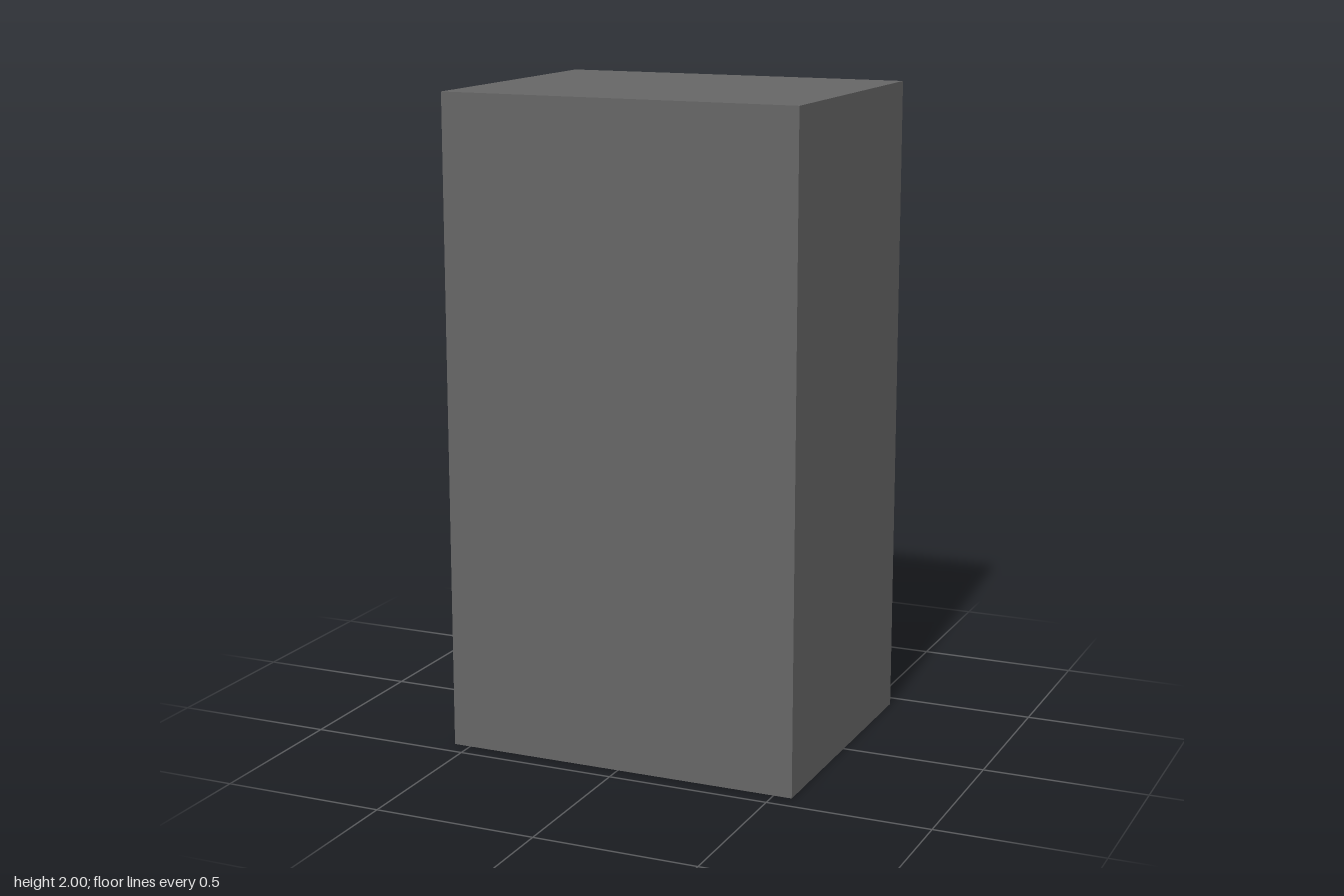
import * as THREE from 'three';

const bodyGrey = new THREE.MeshStandardMaterial({ color: 0x666666, flatShading: true });
const drawerGrey = new THREE.MeshStandardMaterial({ color: 0xaaaaaa, flatShading: true });

// Closed solid from rectangular rings [x, halfHeight, halfDepth], running from +x towards -x
function loft(rings) {
  const pos = [];
  const corners = rings.map(([x, h, d]) => [[x, -h, d], [x, -h, -d], [x, h, -d], [x, h, d]]);
  const quad = (a, b, c, d) => pos.push(...a, ...b, ...c, ...a, ...c, ...d);
  quad(...corners[0]);
  for (let r = 0; r < corners.length - 1; r++) {
    const a = corners[r], b = corners[r + 1];
    for (let i = 0; i < 4; i++) {
      const j = (i + 1) % 4;
      quad(a[j], a[i], b[i], b[j]);
    }
  }
  quad(...corners[corners.length - 1].slice().reverse());
  const geometry = new THREE.BufferGeometry();
  geometry.setAttribute('position', new THREE.Float32BufferAttribute(pos, 3));
  geometry.computeVertexNormals();
  return geometry;
}

export function createModel() {
  const group = new THREE.Group();
  group.name = 'drawerCabinet';

  // Cabinet body with a thin rim around a shallow recess on the drawer side
  const height = 2, halfDepth = 0.443, rim = 0.01, recess = -0.51;
  const body = new THREE.Mesh(loft([
    [0.557, height / 2, halfDepth],
    [-0.553, height / 2, halfDepth],
    [-0.553, height / 2 - rim, halfDepth - rim],
    [recess, height / 2 - rim, halfDepth - rim],
  ]), bodyGrey);
  body.name = 'cabinetBody';
  body.position.y = height / 2;
  group.add(body);

  // Three plain drawer fronts, each standing slightly proud of the rim
  ['bottomDrawer', 'middleDrawer', 'topDrawer'].forEach((name, i) => {
    const front = -0.556 - 0.001 * i, back = recess + 0.005;
    const drawer = new THREE.Mesh(new THREE.BoxGeometry(back - front, 0.62, 0.826), drawerGrey);
    drawer.name = name;
    drawer.position.set((front + back) / 2, 0.364 + 0.639 * i, 0);
    group.add(drawer);
  });

  return group;
}
